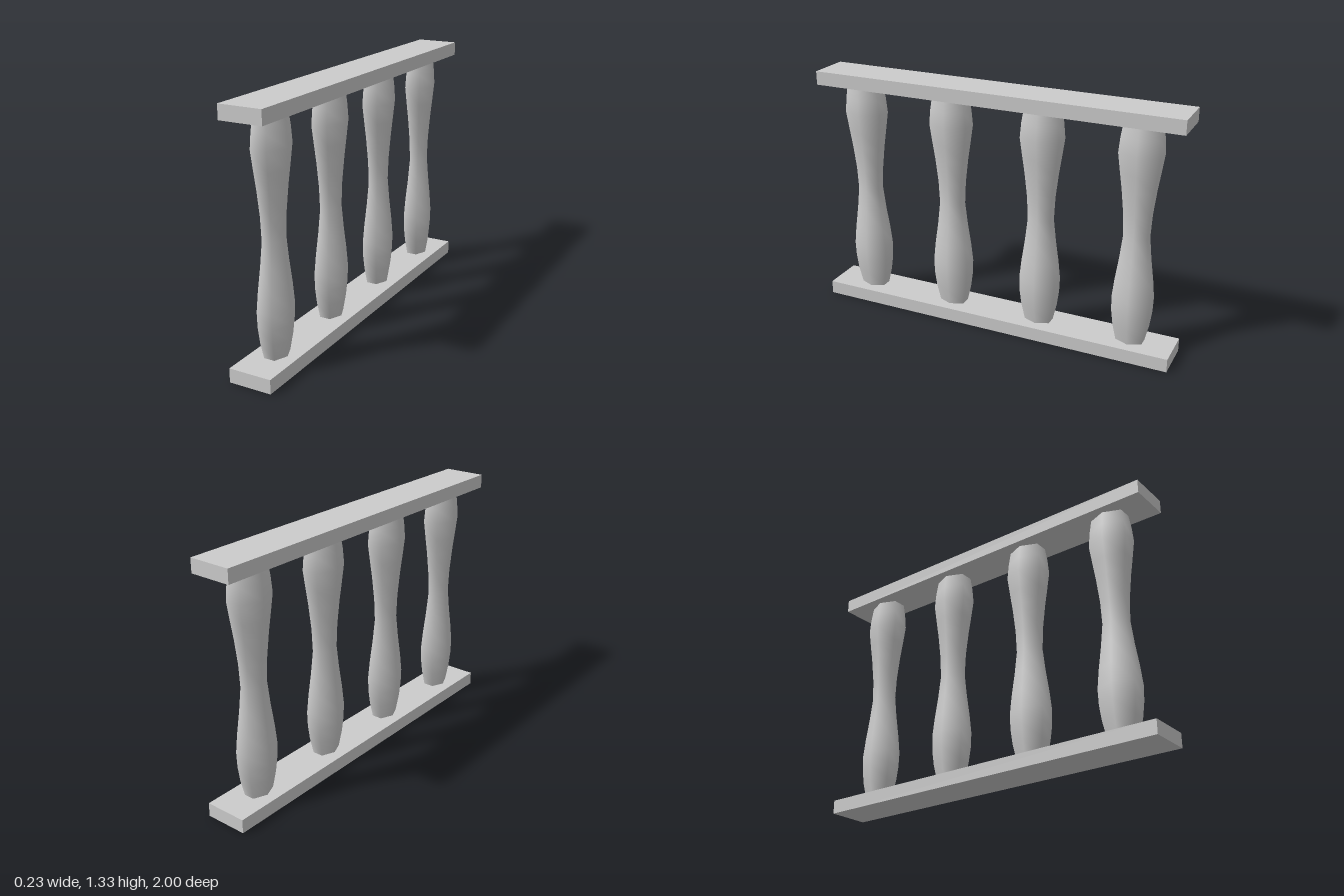
import * as THREE from 'three';

const material = new THREE.MeshStandardMaterial({ color: 0xcccccc });
const HEIGHT = 1.325, RAIL = 0.073;

function makeRail(name, y) {
  const rail = new THREE.Mesh(new THREE.BoxGeometry(0.227, RAIL, 2), material);
  rail.name = name;
  rail.position.y = y;
  return rail;
}

// Six-sided turned post with two bulges and a waist: [radius, height]
function makeBalusterGeometry() {
  const profile = [
    [0.058, RAIL], [0.073, 0.16], [0.081, 0.24], [0.083, 0.32], [0.075, 0.42],
    [0.062, 0.54], [0.052, 0.66], [0.056, 0.78], [0.067, 0.91], [0.077, 1.0],
    [0.0875, 1.1], [0.082, 1.18], [0.073, HEIGHT - RAIL],
  ].map(([r, y]) => new THREE.Vector2(r, y));
  const geometry = new THREE.LatheGeometry(profile, 6, Math.PI / 2);
  // Corners point along x; the post is wider along the rail
  geometry.scale(1, 1, 1.386);
  return geometry;
}

export function createModel() {
  const model = new THREE.Group();
  model.name = 'balustrade';

  model.add(makeRail('bottomRail', RAIL / 2));
  model.add(makeRail('topRail', HEIGHT - RAIL / 2));

  // Four evenly spaced posts
  const geometry = makeBalusterGeometry();
  for (let i = 0; i < 4; i++) {
    const baluster = new THREE.Mesh(geometry, material);
    baluster.name = `baluster${i + 1}`;
    baluster.position.z = (i - 1.5) * 0.513;
    model.add(baluster);
  }
  return model;
}
